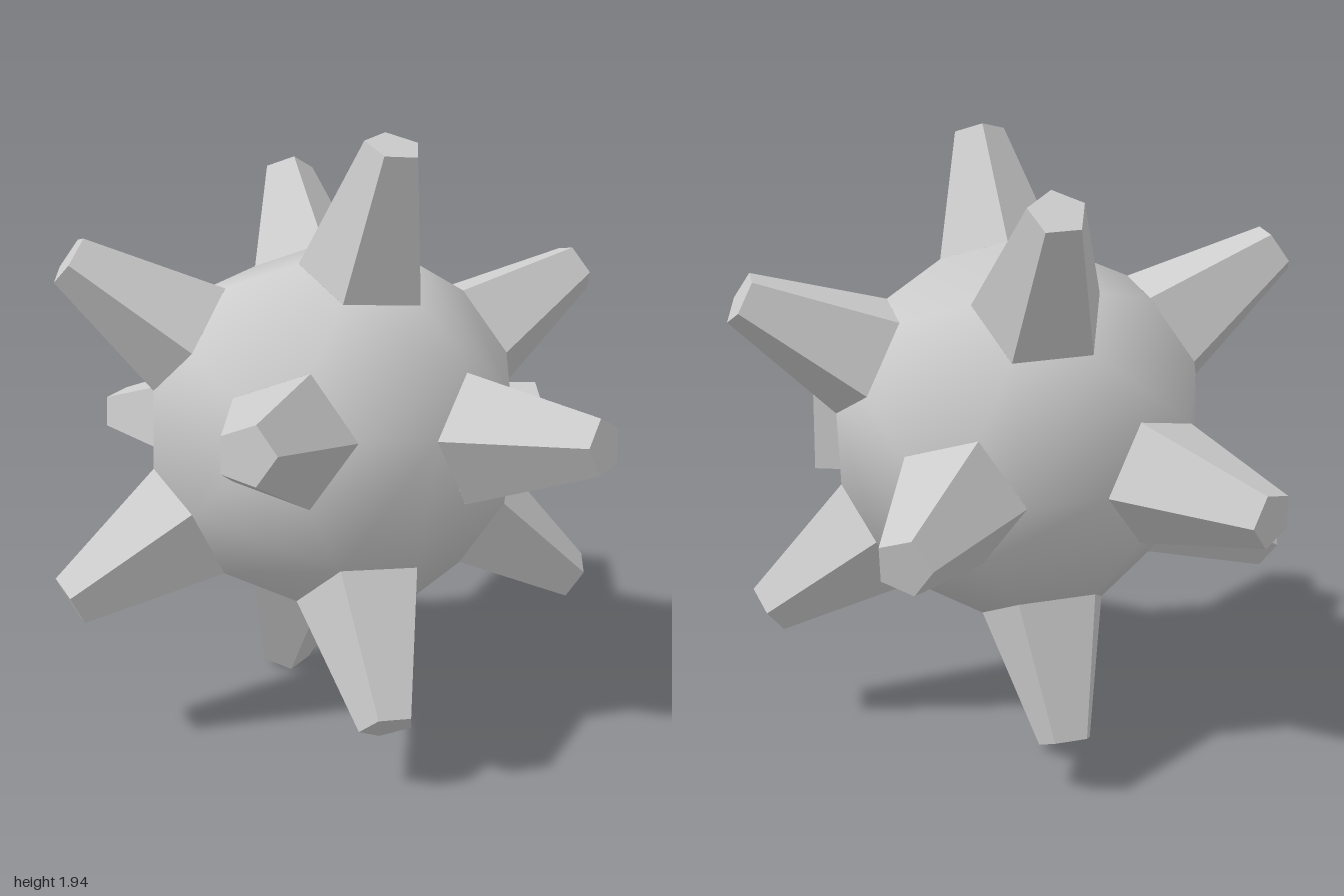
import * as THREE from 'three';
import { mergeVertices } from 'three/addons/utils/BufferGeometryUtils.js';

const BODY_R = 0.61;      // corner radius of the football-shaped body
const TIP = 1.013;        // distance of the spike ends from the centre
const CENTRE_Y = 0.968;
const TURN = THREE.MathUtils.degToRad(10.4);

// Twelve evenly spread directions, in four rings of three around the x axis
function spikeDirections() {
  const dirs = [];
  for (const [x, step] of [[0.7947, 0], [0.1876, 1], [-0.1876, 0], [-0.7947, 1]]) {
    const r = Math.sqrt(1 - x * x);
    for (let k = 0; k < 3; k++) {
      const a = TURN + (step + 2 * k) * Math.PI / 3;
      dirs.push(new THREE.Vector3(x, r * Math.sin(a), r * Math.cos(a)));
    }
  }
  return dirs;
}

const near = (a, b) => a !== b && a.dot(b) > 0.3;

// Twenty hexagons with shared smooth normals; the spikes fill the pentagons
function bodyGeometry(dirs) {
  const pos = [];
  const corner = (a, b) => a.clone().lerp(b, 1 / 3).setLength(BODY_R);
  for (let i = 0; i < 12; i++) for (let j = i + 1; j < 12; j++) for (let k = j + 1; k < 12; k++) {
    let [a, b, c] = [dirs[i], dirs[j], dirs[k]];
    if (!near(a, b) || !near(b, c) || !near(a, c)) continue;
    if (a.clone().cross(b).dot(c) < 0) [b, c] = [c, b];
    const hex = [corner(a, b), corner(b, a), corner(b, c), corner(c, b), corner(c, a), corner(a, c)];
    for (let n = 1; n < 5; n++) {
      for (const p of [hex[0], hex[n], hex[n + 1]]) pos.push(p.x, p.y, p.z);
    }
  }
  const geo = new THREE.BufferGeometry();
  geo.setAttribute('position', new THREE.Float32BufferAttribute(pos, 3));
  const merged = mergeVertices(geo, 1e-4);
  // Normals point straight out from the centre
  const normals = merged.attributes.position.clone();
  merged.setAttribute('normal', normals);
  merged.normalizeNormals();
  return merged;
}

export function createModel() {
  const model = new THREE.Group();
  model.name = 'spikedBall';
  const smooth = new THREE.MeshStandardMaterial({ color: 0xcccccc });
  const flat = new THREE.MeshStandardMaterial({ color: 0xcccccc, flatShading: true });
  const dirs = spikeDirections();

  const add = (name, geometry, material) => {
    const mesh = new THREE.Mesh(geometry, material);
    mesh.name = name;
    mesh.position.y = CENTRE_Y;
    model.add(mesh);
    return mesh;
  };

  add('body', bodyGeometry(dirs), smooth);

  // Five-sided tapered spikes, each with a corner turned to a neighbour
  const baseDist = BODY_R * 0.9393;
  const baseR = BODY_R * 0.3432;
  const spikeGeo = new THREE.CylinderGeometry(0.0875, baseR, TIP - baseDist, 5);
  spikeGeo.translate(0, (TIP + baseDist) / 2, 0);
  dirs.forEach((dir, i) => {
    const neighbour = dirs.find((d) => near(d, dir));
    const z = neighbour.clone().addScaledVector(dir, -neighbour.dot(dir)).normalize();
    const x = dir.clone().cross(z);
    const spike = add('spike' + (i + 1), spikeGeo, flat);
    spike.quaternion.setFromRotationMatrix(new THREE.Matrix4().makeBasis(x, dir, z));
  });

  // Square block on the left side
  const block = add('sideBlock', new THREE.BoxGeometry(0.25, 0.25, 0.25), flat);
  block.position.x = 0.535;

  return model;
}
